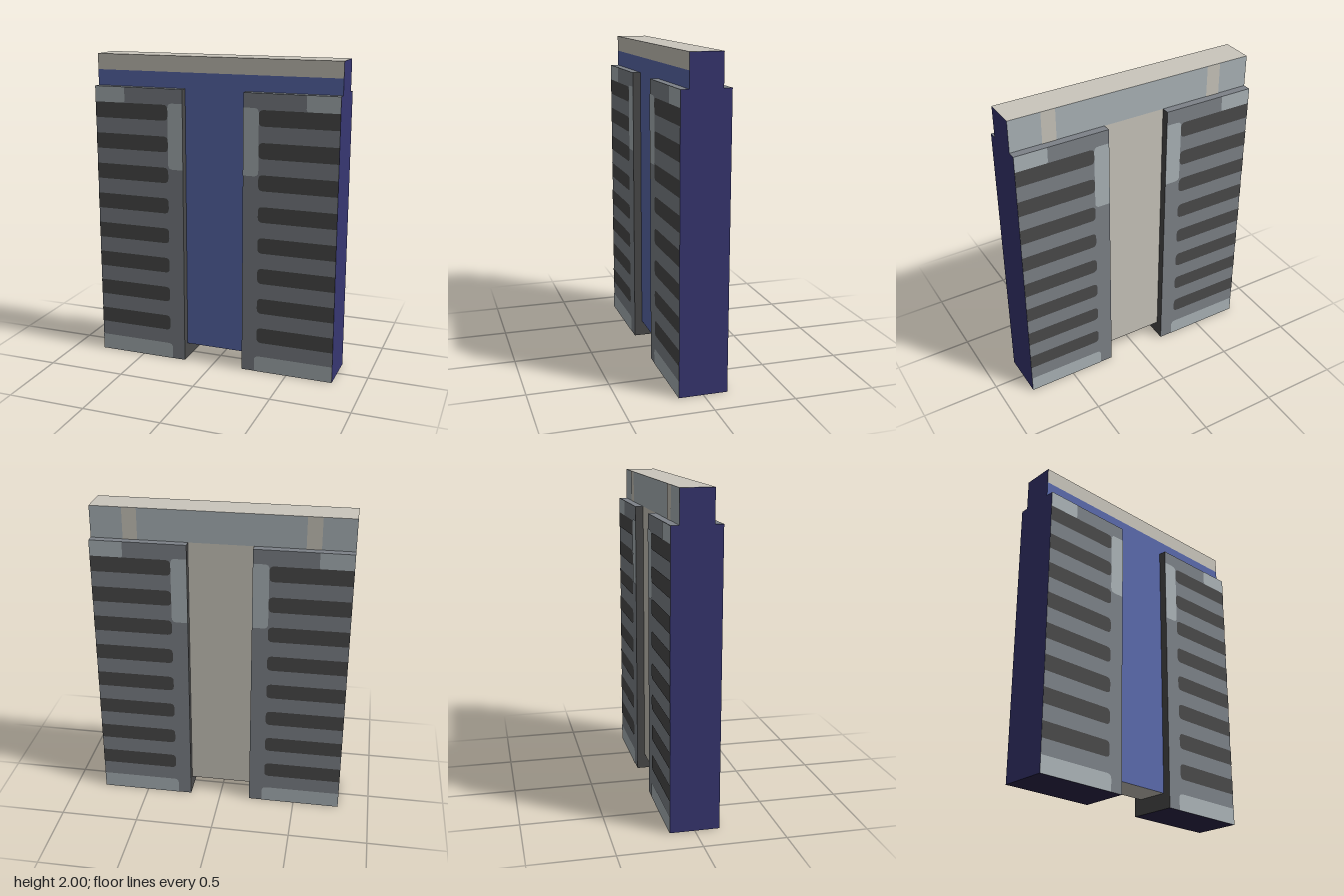
import * as THREE from 'three';

const paint = (name, color) => {
  const m = new THREE.MeshStandardMaterial({ color });
  m.name = name;
  return m;
};

export function createModel() {
  const navy = paint('navy', 0x373672);
  const blue = paint('blue', 0x5b6aad);
  const grey = paint('midGrey', 0x7d8288);
  const pale = paint('paleGrey', 0xabb4b8);
  const dark = paint('charcoal', 0x4a4a4a);
  const cream = paint('cream', 0xcac6bc);
  const under = paint('darkPurple', 0x2c2448);

  const model = new THREE.Group();
  model.name = 'gatePanel';

  // Box from its limits; materials in order +x, -x, +y, -y, +z, -z
  const box = (name, [x0, x1], [y0, y1], [z0, z1], mats) => {
    const mesh = new THREE.Mesh(new THREE.BoxGeometry(x1 - x0, y1 - y0, z1 - z0), mats);
    mesh.position.set((x0 + x1) / 2, (y0 + y1) / 2, (z0 + z1) / 2);
    mesh.name = name;
    model.add(mesh);
  };

  // Flat marking: rectangle from x0 to x1 with chosen corners cut round
  // (r = radii at bottom x0, bottom x1, top x1, top x0)
  const marking = (name, parent, side, [x0, x1], [y0, y1], r, mat) => {
    const s = new THREE.Shape();
    const X = (x) => x * side;
    s.moveTo(X(x0 + r[0]), y0);
    s.lineTo(X(x1 - r[1]), y0);
    if (r[1]) s.quadraticCurveTo(X(x1), y0, X(x1), y0 + r[1]);
    s.lineTo(X(x1), y1 - r[2]);
    if (r[2]) s.quadraticCurveTo(X(x1), y1, X(x1 - r[2]), y1);
    s.lineTo(X(x0 + r[3]), y1);
    if (r[3]) s.quadraticCurveTo(X(x0), y1, X(x0), y1 - r[3]);
    s.lineTo(X(x0), y0 + r[0]);
    if (r[0]) s.quadraticCurveTo(X(x0), y0, X(x0 + r[0]), y0);
    const mesh = new THREE.Mesh(new THREE.ShapeGeometry(s, 4), mat);
    mesh.name = name;
    parent.add(mesh);
  };

  // Central web and the beam across the top
  box('centralPanel', [-0.2, 0.2], [0.1, 1.8], [-0.1, 0.1], [navy, navy, cream, cream, blue, cream]);
  box('lowerBeam', [-0.8, 0.8], [1.8, 1.9], [-0.1, 0.1], [navy, navy, cream, cream, blue, pale]);
  box('topBeam', [-0.8, 0.8], [1.9, 2], [-0.1, 0.1], [navy, navy, cream, cream, cream, pale]);

  // Two thick pillars
  box('leftPillar', [0.2, 0.8], [0, 1.8], [-0.15, 0.15], [navy, dark, grey, under, grey, grey]);
  box('rightPillar', [-0.8, -0.2], [0, 1.8], [-0.15, 0.15], [dark, navy, grey, under, grey, grey]);

  // Slots and pale highlights on both faces of the pillars
  for (const face of ['front', 'back']) {
    const group = new THREE.Group();
    group.name = face + 'PillarMarkings';
    group.rotation.y = face === 'front' ? 0 : Math.PI;
    const plane = new THREE.Group();
    plane.position.z = 0.152;
    group.add(plane);
    for (const side of [1, -1]) {
      for (let i = 0; i < 8; i++) {
        const y = 0.2 + i * 0.2;
        marking('slot', plane, side, [0.3, 0.8], [y, y + 0.1], [0.03, 0, 0, 0.03], dark);
      }
      marking('footHighlight', plane, side, [0.285, 0.8], [0, 0.105], [0, 0, 0, 0.03], pale);
      marking('innerHighlight', plane, side, [0.2, 0.3], [1.29, 1.71], [0, 0.03, 0.03, 0], pale);
      marking('cornerHighlight', plane, side, [0.595, 0.8], [1.7, 1.8], [0.015, 0, 0, 0], pale);
    }
    model.add(group);
  }

  // Cream bands on the back of the beam
  const bands = new THREE.Group();
  bands.name = 'backBeamBands';
  bands.rotation.y = Math.PI;
  bands.position.z = -0.102;
  for (const side of [1, -1]) marking('beamBand', bands, side, [0.51, 0.6], [1.8, 2], [0, 0, 0, 0], cream);
  model.add(bands);

  return model;
}
